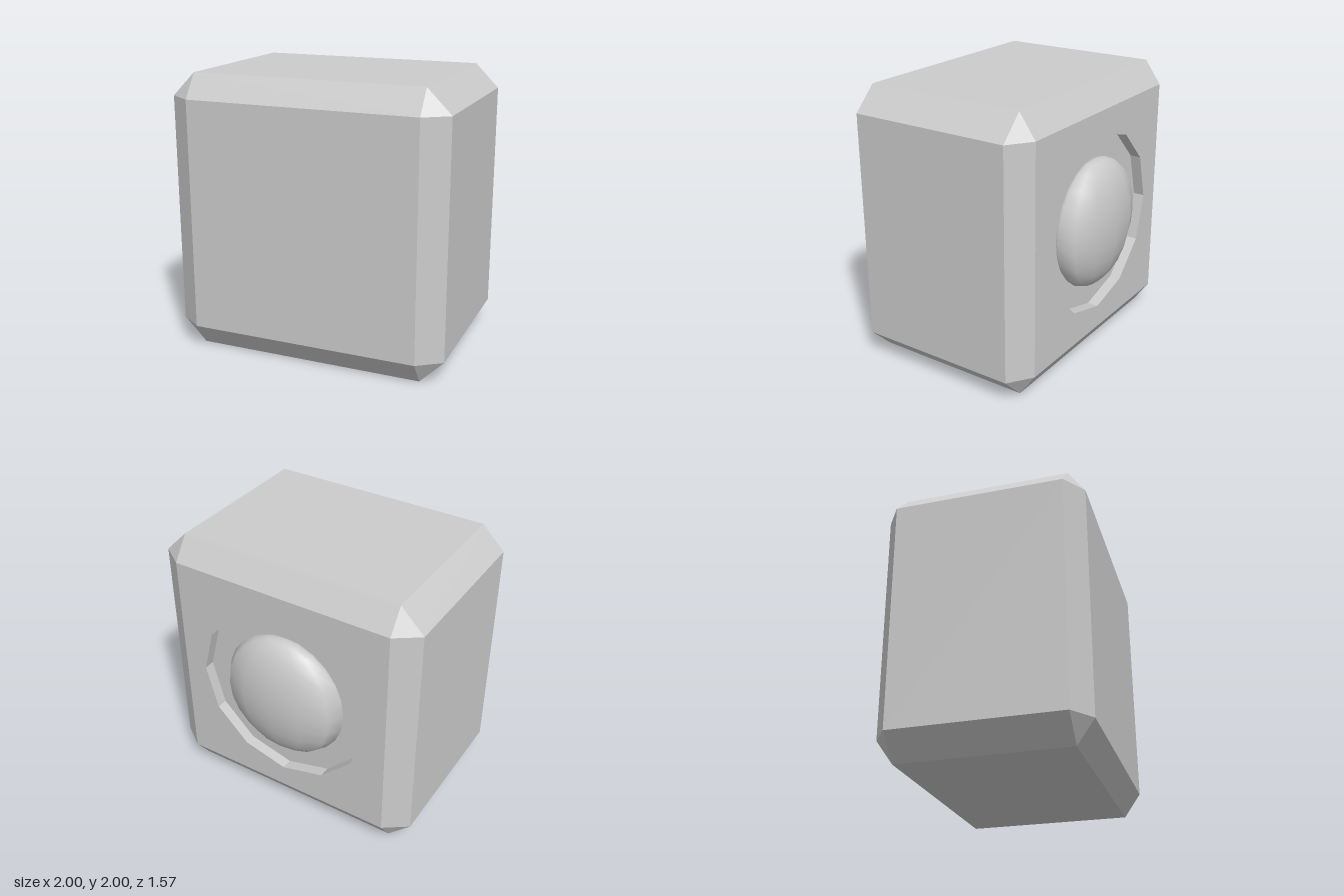
import * as THREE from 'three';

const HALF = 1, INNER = 0.83;            // outer half size and flat-face half size
const FRONT = 0.785, FRONT_EDGE = 0.665; // depth of the front face and its bevel
const BACK = -0.65, BACK_EDGE = -0.53;   // depth of the back face and its bevel
const RECESS_R = 0.66, RECESS_FLOOR = -0.57;

const material = new THREE.MeshStandardMaterial({ color: 0xcccccc });
const flatMaterial = new THREE.MeshStandardMaterial({ color: 0xcccccc, flatShading: true });

function addMesh(parent, name, geometry, mat) {
  const mesh = new THREE.Mesh(geometry, mat);
  mesh.name = name;
  parent.add(mesh);
  return mesh;
}

// Eight-point ring, counter-clockwise seen from +z; a = reach of the flats
function ring(a, z) {
  const b = INNER;
  return [[a, -b], [a, b], [b, a], [-b, a], [-a, b], [-a, -b], [-b, -a], [b, -a]]
    .map(([x, y]) => new THREE.Vector3(x, y, z));
}

// Bevelled sides: loft through four rings, skipping collapsed triangles
function bevelledSides() {
  const rings = [ring(INNER, FRONT), ring(HALF, FRONT_EDGE), ring(HALF, BACK_EDGE), ring(INNER, BACK)];
  const points = [];
  const tri = (a, b, c) => {
    if (new THREE.Triangle(a, b, c).getArea() > 1e-6) points.push(a, b, c);
  };
  for (let r = 0; r < 3; r++) {
    for (let i = 0; i < 8; i++) {
      const j = (i + 1) % 8;
      const [p, q, s, t] = [rings[r][i], rings[r + 1][i], rings[r + 1][j], rings[r][j]];
      tri(p, q, s);
      tri(p, s, t);
    }
  }
  const geometry = new THREE.BufferGeometry().setFromPoints(points);
  geometry.computeVertexNormals();
  return geometry;
}

// Back face with a twelve-sided opening
function backFace() {
  const shape = new THREE.Shape([[-1, -1], [1, -1], [1, 1], [-1, 1]]
    .map(([x, y]) => new THREE.Vector2(x * INNER, y * INNER)));
  const rim = [];
  for (let i = 0; i < 12; i++) {
    const a = i * Math.PI / 6;
    rim.push(new THREE.Vector2(RECESS_R * Math.cos(a), RECESS_R * Math.sin(a)));
  }
  shape.holes.push(new THREE.Path(rim.reverse()));
  return new THREE.ShapeGeometry(shape).rotateY(Math.PI).translate(0, 0, BACK);
}

export function createModel() {
  const model = new THREE.Group();
  model.name = 'bevelledBlock';

  // Body shell
  const body = new THREE.Group();
  body.name = 'body';
  body.position.y = 1;
  model.add(body);
  addMesh(body, 'bevelledSides', bevelledSides(), flatMaterial);
  addMesh(body, 'frontFace', new THREE.PlaneGeometry(2 * INNER, 2 * INNER).translate(0, 0, FRONT), flatMaterial);
  addMesh(body, 'backFace', backFace(), flatMaterial);

  // Recess: inward-facing wall and floor
  const wallMaterial = flatMaterial.clone();
  wallMaterial.side = THREE.DoubleSide;
  const depth = RECESS_FLOOR - BACK;
  const wall = new THREE.CylinderGeometry(RECESS_R, RECESS_R, depth, 12, 1, true)
    .rotateX(Math.PI / 2).translate(0, 0, BACK + depth / 2);
  addMesh(body, 'recessWall', wall, wallMaterial);
  addMesh(body, 'recessFloor',
    new THREE.CircleGeometry(RECESS_R, 12).rotateY(Math.PI).translate(0, 0, RECESS_FLOOR), flatMaterial);

  // Flattened dome sitting in the recess
  const dome = addMesh(body, 'dome', new THREE.SphereGeometry(0.475, 12, 12), material);
  dome.scale.z = 0.4;
  dome.position.z = -0.595;

  return model;
}
